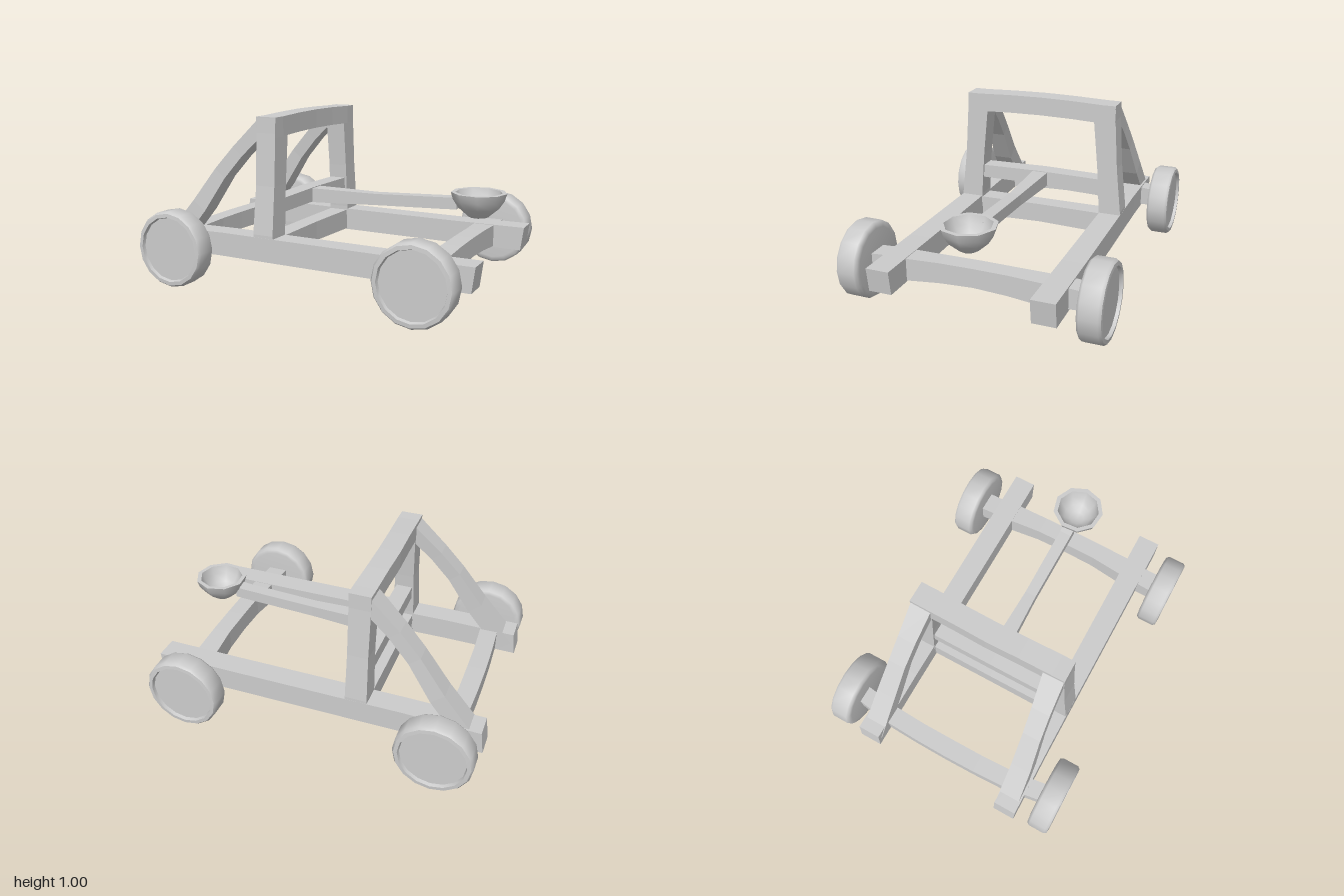
import * as THREE from 'three';
import { toCreasedNormals } from 'three/addons/utils/BufferGeometryUtils.js';

const wood = new THREE.MeshStandardMaterial({ color: 0xcccccc, flatShading: true });
const smooth = new THREE.MeshStandardMaterial({ color: 0xcccccc });

const X = new THREE.Vector3(1, 0, 0);
const Y = new THREE.Vector3(0, 1, 0);
const Z = new THREE.Vector3(0, 0, 1);

// Squared timber lofted through sections [x, y, z, half size along u, half size along v]
function beam(name, sections, u, v) {
  const centre = (s) => new THREE.Vector3(s[0], s[1], s[2]);
  const dir = centre(sections[sections.length - 1]).sub(centre(sections[0]));
  if (u.clone().cross(v).dot(dir) < 0) sections = [...sections].reverse();
  const rings = sections.map((s) =>
    [[-1, -1], [1, -1], [1, 1], [-1, 1]].map(([a, b]) =>
      centre(s).addScaledVector(u, a * s[3]).addScaledVector(v, b * s[4])));
  const pos = [];
  const quad = (a, b, c, d) => [a, b, c, a, c, d].forEach((p) => pos.push(p.x, p.y, p.z));
  for (let i = 0; i < rings.length - 1; i++) {
    for (let k = 0; k < 4; k++) {
      const n = (k + 1) % 4;
      quad(rings[i][k], rings[i][n], rings[i + 1][n], rings[i + 1][k]);
    }
  }
  const [first, last] = [rings[0], rings[rings.length - 1]];
  quad(first[3], first[2], first[1], first[0]);
  quad(last[0], last[1], last[2], last[3]);
  const geo = new THREE.BufferGeometry();
  geo.setAttribute('position', new THREE.Float32BufferAttribute(pos, 3));
  geo.computeVertexNormals();
  const mesh = new THREE.Mesh(geo, wood);
  mesh.name = name;
  return mesh;
}

// Sections of a crossbar given for z >= 0, mirrored to the other side
const acrossZ = (half) => [
  ...half.filter((s) => s[2] > 0).map((s) => [s[0], s[1], -s[2], s[3], s[4]]).reverse(),
  ...half,
];

function lathe(points, sides) {
  return new THREE.LatheGeometry(points.map(([r, y]) => new THREE.Vector2(r, y)), sides);
}

export function createModel() {
  const model = new THREE.Group();
  model.name = 'catapult';

  for (const [side, s] of [['left', 1], ['right', -1]]) {
    // Long base rails
    model.add(beam(side + 'Rail', [
      [-0.995, 0.23, s * 0.47, 0.068, 0.068],
      [-0.55, 0.235, s * 0.468, 0.07, 0.066],
      [-0.2, 0.233, s * 0.467, 0.07, 0.067],
      [0.5, 0.231, s * 0.467, 0.07, 0.068],
      [0.985, 0.232, s * 0.467, 0.071, 0.068],
    ], new THREE.Vector3(0.13, 1, 0), Z));

    // Uprights leaning inwards
    model.add(beam(side + 'Upright', [
      [-0.265, 0.165, s * 0.467, 0.065, 0.067],
      [-0.265, 0.32, s * 0.465, 0.065, 0.068],
      [-0.263, 0.6, s * 0.44, 0.061, 0.062],
      [-0.265, 0.9, s * 0.415, 0.063, 0.067],
      [-0.265, 0.985, s * 0.413, 0.063, 0.067],
    ], X, Z));

    // Slanted braces behind the uprights
    model.add(beam(side + 'Brace', [
      [-0.93, 0.2, s * 0.465, 0.052, 0.066],
      [-0.725, 0.445, s * 0.455, 0.05, 0.06],
      [-0.58, 0.65, s * 0.44, 0.042, 0.054],
      [-0.46, 0.785, s * 0.428, 0.04, 0.056],
      [-0.28, 0.955, s * 0.412, 0.044, 0.064],
    ], new THREE.Vector3(-0.78, 0.63, 0), Z));
  }

  // Beam across the top of the uprights
  model.add(beam('topBeam', acrossZ([
    [-0.274, 0.943, 0, 0.064, 0.056],
    [-0.27, 0.941, 0.2, 0.063, 0.056],
    [-0.265, 0.935, 0.4, 0.065, 0.056],
    [-0.265, 0.935, 0.48, 0.064, 0.056],
  ]), X, Y));

  // Pivot bar holding the arm, and the tie between the rails below it
  model.add(beam('pivotBar', acrossZ([
    [-0.265, 0.478, 0, 0.052, 0.044],
    [-0.265, 0.474, 0.42, 0.05, 0.041],
  ]), X, Y));
  model.add(beam('lowerTie', acrossZ([
    [-0.27, 0.236, 0, 0.056, 0.06],
    [-0.265, 0.232, 0.42, 0.06, 0.064],
  ]), X, Y));

  // Bowed axle beams
  model.add(beam('cupEndAxle', acrossZ([
    [0.752, 0.254, 0, 0.055, 0.056],
    [0.752, 0.248, 0.2, 0.055, 0.06],
    [0.745, 0.233, 0.4, 0.062, 0.066],
    [0.738, 0.234, 0.53, 0.06, 0.06],
    [0.737, 0.234, 0.63, 0.062, 0.054],
  ]), X, Y));
  model.add(beam('braceEndAxle', acrossZ([
    [-0.838, 0.245, 0, 0.055, 0.056],
    [-0.836, 0.242, 0.2, 0.054, 0.058],
    [-0.826, 0.233, 0.43, 0.054, 0.064],
    [-0.81, 0.234, 0.53, 0.052, 0.06],
    [-0.795, 0.234, 0.63, 0.052, 0.054],
  ]), X, Y));

  // Throwing arm
  model.add(beam('arm', [
    [-0.27, 0.474, 0, 0.043, 0.052],
    [-0.18, 0.474, 0, 0.043, 0.048],
    [0.2, 0.483, 0, 0.034, 0.035],
    [0.66, 0.504, 0, 0.034, 0.037],
    [0.715, 0.51, 0, 0.036, 0.037],
  ], Y, Z));

  // Hollow cup at the end of the arm
  const cup = new THREE.Mesh(toCreasedNormals(lathe([
    [0, 0], [0.055, 0.012], [0.115, 0.065], [0.145, 0.11], [0.158, 0.153],
    [0.132, 0.153], [0.118, 0.105], [0.085, 0.06], [0.045, 0.035], [0, 0.028],
  ], 9), 0.85), smooth);
  cup.name = 'cup';
  cup.position.set(0.832, 0.425, 0);
  cup.rotation.y = 0.25;
  model.add(cup);

  // Wheels with a shallow recessed hub face
  const wheelGeo = toCreasedNormals(lathe([
    [0, 0], [0.19, 0], [0.214, 0.003], [0.225, 0.018], [0.225, 0.117],
    [0.214, 0.132], [0.192, 0.134], [0.186, 0.115], [0, 0.115],
  ], 16), 0.85);
  for (const [end, x] of [['cupEnd', 0.737], ['braceEnd', -0.771]]) {
    for (const [side, s] of [['Left', 1], ['Right', -1]]) {
      const wheel = new THREE.Mesh(wheelGeo, smooth);
      wheel.name = end + side + 'Wheel';
      wheel.position.set(x, 0.225, s * 0.62);
      wheel.rotation.x = s * Math.PI / 2;
      model.add(wheel);
    }
  }
  return model;
}
